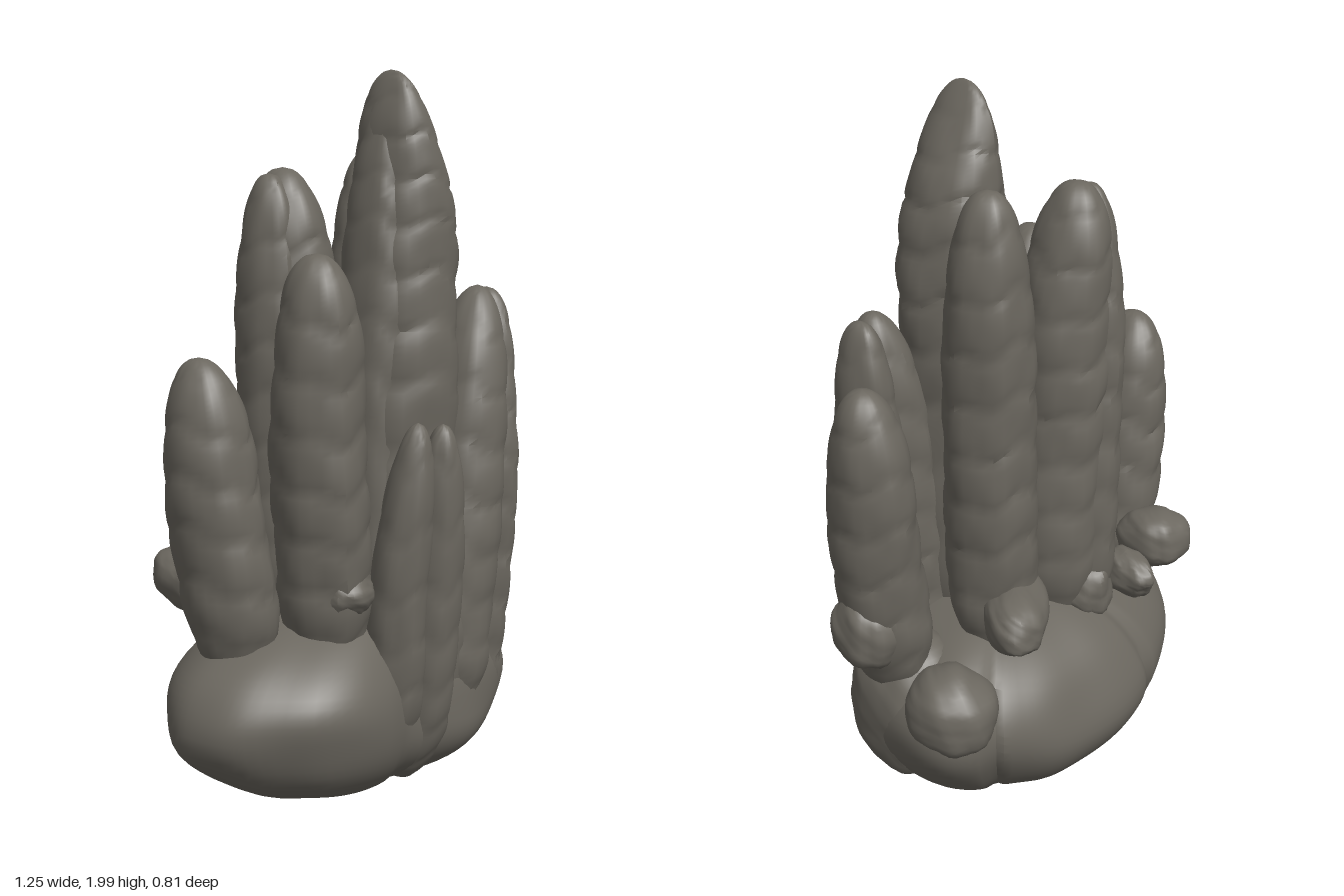
import * as THREE from 'three';
import { toCreasedNormals } from 'three/addons/utils/BufferGeometryUtils.js';

const rock = new THREE.MeshStandardMaterial({ color: 0x6b675f, roughness: 0.95 });

// Smooth repeatable wobble in -1..1
const wobble = (x, y, z, s) =>
  (Math.sin(x * 1.7 + y * 2.3 + s) + Math.sin(y * 3.1 - z * 2.1 + s * 2.7) + Math.sin(z * 2.9 + x * 3.7 + s * 1.3)) / 3;

function addMesh(group, name, geometry, crease) {
  const mesh = new THREE.Mesh(toCreasedNormals(geometry, crease), rock);
  mesh.name = name;
  group.add(mesh);
}

// Skin of closed rings stacked from bottom to top; point(u, a) gives [x, y, z]
function skin(rings, sides, point) {
  const pos = [], index = [];
  for (let i = 0; i <= rings; i++)
    for (let j = 0; j < sides; j++) pos.push(...point(i / rings, j / sides));
  for (let i = 0; i < rings; i++) for (let j = 0; j < sides; j++) {
    const a = i * sides + j, b = i * sides + (j + 1) % sides;
    const c = a + sides, d = b + sides;
    index.push(a, c, b, b, c, d);
  }
  const g = new THREE.BufferGeometry();
  g.setAttribute('position', new THREE.Float32BufferAttribute(pos, 3));
  g.setIndex(index);
  return g;
}

// Banded stone column: rings swept along a path, rounded at the foot and closing to a tip.
// sharpX / sharpZ = [k, m] set the tip taper (1 - t^k)^m across each axis.
function column(group, name, { path, rx, rz = rx, seed, sharpX = [9, 0.45], sharpZ = sharpX, band = 0.14 }) {
  const curve = new THREE.CatmullRomCurve3(path.map(p => new THREE.Vector3(...p)));
  const height = path.at(-1)[1] - path[0][1];
  const bands = height / band;
  const g = skin(Math.round(bands * 8), 28, (u, w) => {
    const t = 1 - Math.pow(1 - u, 1.25);
    const c = curve.getPoint(t);
    const foot = Math.sqrt(1 - (1 - Math.min(1, t * height / 0.25)) ** 2);
    const body = foot * (1 - 0.3 * (t - 0.35) ** 2);
    const fx = Math.max(0, 1 - t ** sharpX[0]) ** sharpX[1];
    const fz = Math.max(0, 1 - t ** sharpZ[0]) ** sharpZ[1];
    const a = w * Math.PI * 2, ca = Math.cos(a), sa = Math.sin(a);
    // narrow notches between swelling bands
    const phase = t * bands + 0.16 * Math.sin(a * 2 + seed) + 0.1 * Math.sin(a * 5 + seed * 3);
    let k = 0.93 + 0.08 * Math.abs(Math.sin(phase * Math.PI)) ** 0.35;
    k += 0.06 * wobble(ca * 1.5, t * height * 4, sa * 1.5, seed);
    k += 0.025 * wobble(ca * 5, t * height * 12, sa * 5, seed + 4);
    return [c.x + ca * rx * k * fx * body, c.y, c.z + sa * rz * k * fz * body];
  });
  addMesh(group, name, g, 0.6);
}

// Main base rock: outline of [x, z, height of widest point], bowl below and dome above
function baseRock(group) {
  const outline = new THREE.CatmullRomCurve3([
    [0.53, -0.1, 0.33], [0.46, 0.18, 0.28], [0.25, 0.3, 0.22], [0, 0.33, 0.25], [-0.3, 0.395, 0.33], [-0.55, 0.26, 0.34],
    [-0.63, 0.08, 0.34], [-0.5, -0.16, 0.31], [-0.28, -0.32, 0.28], [-0.1, -0.385, 0.27], [0.15, -0.4, 0.27],
    [0.35, -0.35, 0.33], [0.51, -0.27, 0.36]
  ].map(([x, z, y]) => new THREE.Vector3(x, y, z)), true);
  const seams = [0.245, 0.63, 0.86];
  const g = skin(36, 104, (u, w) => {
    const e = (u - 0.5) * Math.PI, s = Math.sin(e), r = Math.cos(e) ** 0.95;
    const o = outline.getPoint(w);
    const mx = 0.03, mz = u < 0.5 ? 0.01 : 0.03;
    const y = o.y + s * (s < 0 ? o.y - 0.01 : 0.585 - o.y);
    let k = r * (1 + 0.02 * wobble(o.x * 6, y * 9, o.z * 6, 3));
    for (const seam of seams) k -= 0.05 * r * Math.exp(-(((w - seam) * 100) ** 2));
    return [mx + (o.x - mx) * k, y, mz + (o.z - mz) * k];
  });
  addMesh(group, 'mainRock', g, 0.6);
}

// Worn boulder: dented sphere, scaled and turned; box below 1 squares it off
function boulder(group, name, at, size, { turn = [0, 0, 0], seed = 1, rough = 0.05, box = 1 } = {}) {
  const g = new THREE.SphereGeometry(1, 40, 28);
  const p = g.attributes.position, v = new THREE.Vector3();
  const soft = n => Math.sign(n) * Math.abs(n) ** box;
  for (let i = 0; i < p.count; i++) {
    v.fromBufferAttribute(p, i);
    const k = 1 + rough * wobble(v.x * 2, v.y * 2, v.z * 2, seed) + rough * 0.3 * wobble(v.x * 6, v.y * 6, v.z * 6, seed + 2);
    v.set(soft(v.x), soft(v.y), soft(v.z)).multiplyScalar(k);
    p.setXYZ(i, v.x * size[0], v.y * size[1], v.z * size[2]);
  }
  g.rotateX(turn[0]).rotateY(turn[1]).rotateZ(turn[2]).translate(...at);
  addMesh(group, name, g, 0.7);
}

export function createModel() {
  const model = new THREE.Group();
  model.name = 'stoneColumnCluster';

  // Base rock with side lumps
  const base = new THREE.Group();
  base.name = 'base';
  model.add(base);
  baseRock(base);
  boulder(base, 'rightLump', [0.39, 0.34, -0.01], [0.15, 0.22, 0.18], { seed: 9, box: 0.9 });
  boulder(base, 'backRightLump', [0.42, 0.41, -0.22], [0.12, 0.13, 0.13], { turn: [0.5, 0, 0], seed: 4 });

  // Standing columns
  const columns = new THREE.Group();
  columns.name = 'columns';
  model.add(columns);
  column(columns, 'centreColumn', {
    path: [[0.08, 0.3, 0.1], [0.1, 1.1, 0.115], [0.12, 1.6, 0.1], [0.075, 2, 0.1]],
    rx: 0.155, rz: 0.155, seed: 1, sharpX: [5, 0.8], sharpZ: [8, 0.45], band: 0.16
  });
  column(columns, 'centreSideLobe', {
    path: [[-0.01, 0.3, 0.09], [0, 1.1, 0.1], [0.03, 1.6, 0.095], [0.06, 1.97, 0.095]],
    rx: 0.075, rz: 0.115, seed: 12, sharpX: [5, 0.7], band: 0.16
  });
  column(columns, 'backRightColumn', {
    path: [[0.17, 0.42, -0.12], [0.21, 1.1, -0.14], [0.24, 1.79, -0.175]], rx: 0.12, rz: 0.13, seed: 2
  });
  column(columns, 'backRightInnerLobe', {
    path: [[0.15, 0.42, -0.07], [0.18, 1.1, -0.08], [0.21, 1.72, -0.12]], rx: 0.08, rz: 0.09, seed: 13
  });
  column(columns, 'backLeftColumn', {
    path: [[-0.08, 0.42, -0.08], [-0.09, 1.1, -0.09], [-0.12, 1.745, -0.12]], rx: 0.13, rz: 0.145, seed: 3
  });
  column(columns, 'backLeftSideLobe', {
    path: [[-0.14, 0.42, -0.12], [-0.165, 1.1, -0.12], [-0.175, 1.73, -0.11]], rx: 0.09, rz: 0.12, seed: 14
  });
  column(columns, 'frontLeftColumn', {
    path: [[-0.19, 0.4, 0.15], [-0.235, 0.95, 0.175], [-0.26, 1.54, 0.2]], rx: 0.125, rz: 0.14, seed: 4
  });
  column(columns, 'farLeftColumn', {
    path: [[-0.4, 0.38, 0.04], [-0.455, 0.85, 0.02], [-0.49, 1.275, 0.005]], rx: 0.12, rz: 0.145, seed: 5, sharpX: [7, 0.5]
  });
  column(columns, 'frontRightColumn', {
    path: [[0.2, 0.18, 0.18], [0.24, 0.75, 0.19], [0.34, 1.42, 0.17]], rx: 0.125, rz: 0.14, seed: 6, sharpX: [7, 0.5]
  });
  column(columns, 'frontRightSideLobe', {
    path: [[0.35, 0.06, 0.1], [0.365, 0.75, 0.165], [0.395, 1.41, 0.15]], rx: 0.085, rz: 0.125, seed: 7, sharpX: [8, 0.45]
  });
  column(columns, 'farRightColumn', {
    path: [[0.44, 0.38, 0], [0.5, 0.85, -0.02], [0.54, 1.315, -0.04]], rx: 0.115, rz: 0.135, seed: 8, sharpX: [8, 0.5]
  });
  // Short twin-lobed column at the front, curling under the base
  for (const [name, x, top, z, seed] of [['shortLeftLobe', -0.055, 1.1, 0.295, 9], ['shortRightLobe', 0.045, 1.09, 0.31, 10]])
    column(columns, name, {
      path: [[x, 0.04, z - 0.12], [x, 0.3, z - 0.04], [x * 1.1, 0.65, z], [x * 0.75, top, z + 0.05]],
      rx: 0.08, rz: 0.09, seed, sharpX: [8, 0.5]
    });
  column(columns, 'frontRightFoot', {
    path: [[0.13, 0.04, 0.12], [0.14, 0.4, 0.19], [0.14, 0.78, 0.19]], rx: 0.11, rz: 0.12, seed: 11
  });

  // Small budding knobs around the foot of the columns
  const knobs = new THREE.Group();
  knobs.name = 'knobs';
  model.add(knobs);
  boulder(knobs, 'backLeftKnob', [-0.4, 0.635, -0.185], [0.095, 0.085, 0.11], { turn: [0.2, 0, 0], seed: 3, rough: 0.06, box: 0.85 });
  boulder(knobs, 'smallBackKnob', [-0.27, 0.57, -0.2], [0.055, 0.07, 0.1], { seed: 6, rough: 0.1 });
  boulder(knobs, 'backColumnBud', [-0.13, 0.56, -0.17], [0.08, 0.1, 0.08], { seed: 5, rough: 0.1 });
  boulder(knobs, 'rightKnob', [0.53, 0.625, -0.02], [0.1, 0.11, 0.105], { seed: 8, rough: 0.07, box: 0.9 });
  boulder(knobs, 'backRightKnob', [0.2, 0.635, -0.235], [0.17, 0.08, 0.085], { turn: [0, 0.8, 0], seed: 1, rough: 0.07, box: 0.85 });
  boulder(knobs, 'frontLedge', [-0.2, 0.65, 0.23], [0.09, 0.08, 0.08], { seed: 2, rough: 0.1 });
  return model;
}
